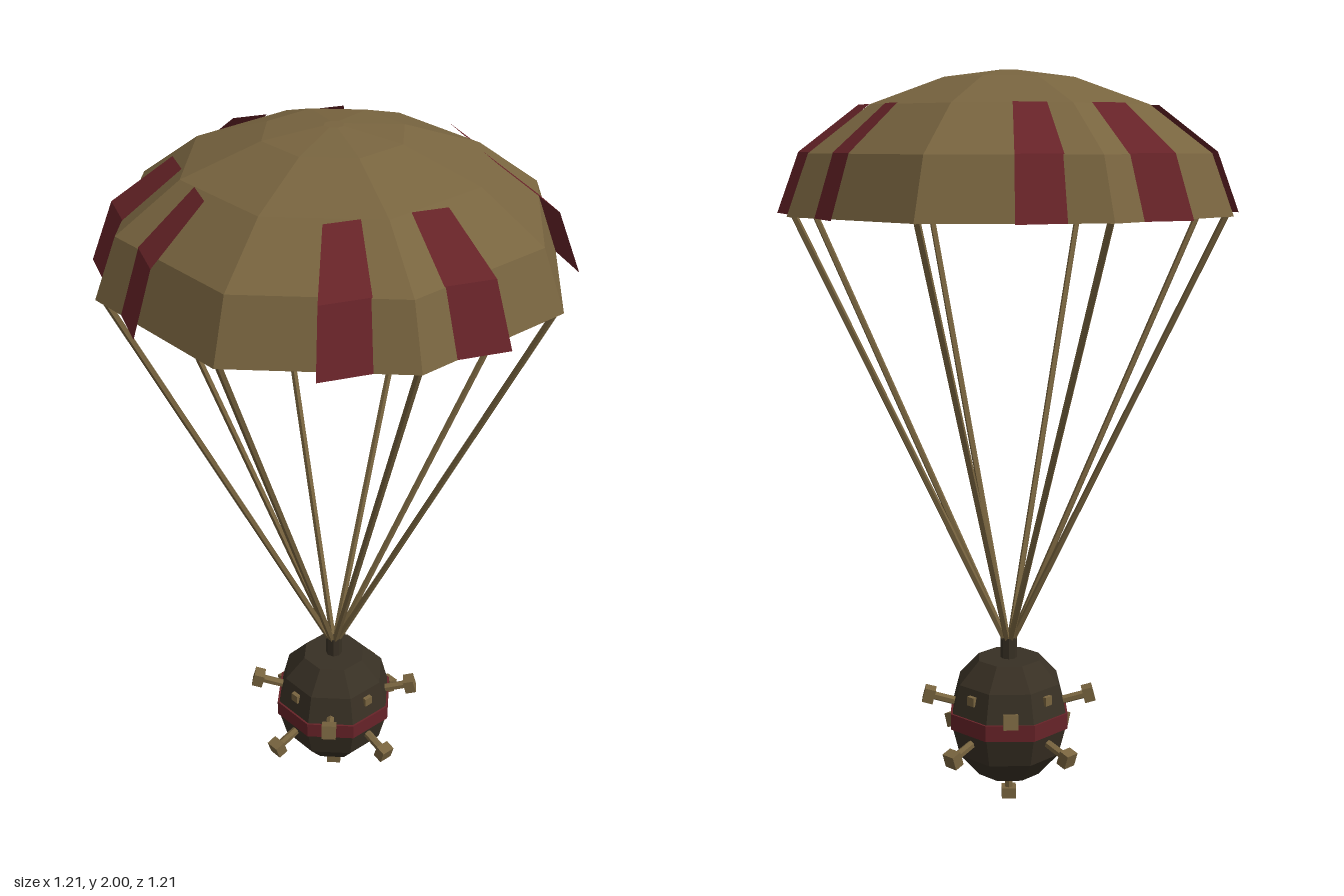
import * as THREE from 'three';

const mat = (name, color, side = THREE.FrontSide) => {
  const m = new THREE.MeshStandardMaterial({ color, side, flatShading: true });
  m.name = name;
  return m;
};

export function createModel() {
  const canvas = mat('tan canvas', 0x78643f);
  const red = mat('dark red', 0x672328, THREE.DoubleSide);
  const iron = mat('dark iron', 0x383024);
  const model = new THREE.Group();
  model.name = 'parachuteMine';

  const add = (parent, name, geometry, material) => {
    const mesh = new THREE.Mesh(geometry, material);
    mesh.name = name;
    parent.add(mesh);
    return mesh;
  };
  // Eight-sided turned shape with flat faces towards the axes
  const octagon = (profile) => new THREE.LatheGeometry(
    profile.map(([r, y]) => new THREE.Vector2(r, y)), 8, Math.PI / 8).toNonIndexed();
  // Point on a circle, angle measured from +z towards +x
  const polar = (r, a, y) => new THREE.Vector3(r * Math.sin(a), y, r * Math.cos(a));
  const rod = (parent, name, a, b, radius, material, sides) => {
    const mesh = add(parent, name, new THREE.CylinderGeometry(radius, radius, a.distanceTo(b), sides), material);
    mesh.position.copy(a).lerp(b, 0.5);
    mesh.quaternion.setFromUnitVectors(new THREE.Vector3(0, 1, 0), b.clone().sub(a).normalize());
    return mesh;
  };

  // Closed canopy
  add(model, 'canopy', octagon([[0, 1.635], [0.602, 1.635], [0.543, 1.79], [0.38, 1.91],
    [0.18, 1.98], [0.025, 2], [0, 2]]), canvas);

  // Pairs of raised stripes, at both ends of every second 45 degree span
  const rings = [[0.607, 1.635], [0.548, 1.792], [0.39, 1.912]];
  for (let k = 0; k < 4; k++) {
    for (const [t0, t1] of [[0, 0.3], [0.7, 1]]) {
      const a = k * Math.PI / 2;
      const points = [];
      for (const [r, y] of rings) {
        const from = polar(r, a, y), to = polar(r, a + Math.PI / 4, y);
        for (const t of [t0, t1]) points.push(...from.clone().lerp(to, t).toArray());
      }
      const g = new THREE.BufferGeometry();
      g.setAttribute('position', new THREE.Float32BufferAttribute(points, 3));
      g.setIndex([0, 1, 3, 0, 3, 2, 2, 3, 5, 2, 5, 4]);
      g.computeVertexNormals();
      add(model, 'canopyStripe', g, red);
    }
  }

  // Suspension lines gathered at the connector
  for (let k = 0; k < 8; k++) {
    const a = Math.PI / 8 + k * Math.PI / 4;
    rod(model, 'suspensionLine', polar(0.01, a, 0.46), polar(0.582, a, 1.637), 0.009, canvas, 5);
  }
  add(model, 'connector', new THREE.CylinderGeometry(0.023, 0.023, 0.065, 8), iron).position.y = 0.438;

  // Faceted ball with a red belt
  add(model, 'ball', octagon([[0, 0.08], [0.09, 0.08], [0.147, 0.145], [0.168, 0.225],
    [0.168, 0.27], [0.147, 0.35], [0.09, 0.412], [0, 0.412]]), iron);
  add(model, 'belt', octagon([[0.168, 0.225], [0.174, 0.225], [0.174, 0.27], [0.168, 0.27]]), red);

  // Contact horns: a rod with a square head
  const centre = new THREE.Vector3(0, 0.245, 0);
  const horn = (dir) => {
    const g = new THREE.Group();
    g.name = 'contactHorn';
    g.position.copy(centre);
    // Yaw then pitch, so heads stay level
    g.rotation.order = 'YXZ';
    g.rotation.y = Math.atan2(dir.x, dir.z);
    g.rotation.x = -Math.asin(dir.y);
    rod(g, 'hornRod', new THREE.Vector3(0, 0, 0.13), new THREE.Vector3(0, 0, 0.22), 0.012, canvas, 6);
    add(g, 'hornHead', new THREE.BoxGeometry(0.04, 0.04, 0.03), canvas).position.z = 0.23;
    model.add(g);
  };
  const up = Math.PI / 12, down = -Math.PI / 10;
  for (let k = 0; k < 4; k++) {
    const a = k * Math.PI / 2, d = a + Math.PI / 4;
    horn(polar(Math.cos(up), a, Math.sin(up)));
    horn(polar(Math.cos(down), d, Math.sin(down)));
    // Small stud on the upper diagonal face
    const stud = add(model, 'stud', new THREE.BoxGeometry(0.025, 0.025, 0.03), canvas);
    stud.position.copy(polar(0.137, d, 0.32));
    stud.rotation.y = d;
  }
  horn(new THREE.Vector3(0, -1, 0));
  return model;
}
